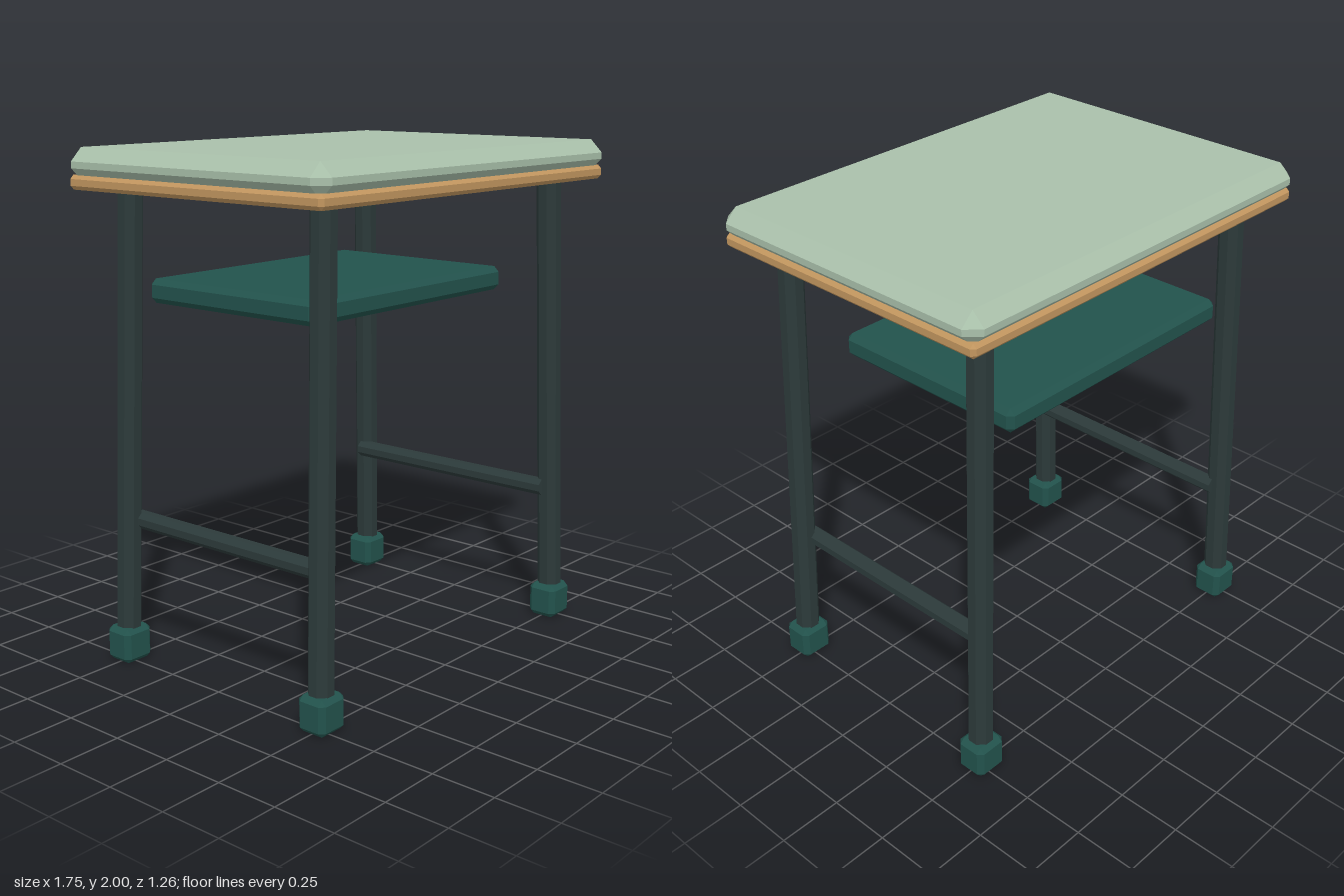
import * as THREE from 'three';
import { ConvexGeometry } from 'three/addons/geometries/ConvexGeometry.js';

// Box with every edge cut by a single flat bevel
function bevelBox(w, h, d, b) {
  const points = [];
  for (const sx of [-1, 1]) for (const sy of [-1, 1]) for (const sz of [-1, 1]) {
    const x = w / 2, y = h / 2, z = d / 2;
    points.push(
      new THREE.Vector3(sx * x, sy * (y - b), sz * (z - b)),
      new THREE.Vector3(sx * (x - b), sy * y, sz * (z - b)),
      new THREE.Vector3(sx * (x - b), sy * (y - b), sz * z)
    );
  }
  return new ConvexGeometry(points);
}

// Eight-sided bar between two points
function bar(from, to, radius, material, name) {
  const dir = to.clone().sub(from);
  const geometry = new THREE.CylinderGeometry(radius, radius, dir.length(), 8);
  geometry.rotateY(Math.PI / 8);
  const mesh = new THREE.Mesh(geometry, material);
  mesh.position.copy(from).add(to).multiplyScalar(0.5);
  mesh.quaternion.setFromUnitVectors(new THREE.Vector3(0, 1, 0), dir.normalize());
  mesh.name = name;
  return mesh;
}

export function createModel() {
  const group = new THREE.Group();
  group.name = 'schoolDesk';

  const makeMaterial = (name, color) => {
    const m = new THREE.MeshStandardMaterial({ color, flatShading: true });
    m.name = name;
    return m;
  };
  const sage = makeMaterial('sageTop', 0xa9c0aa);
  const wood = makeMaterial('woodEdge', 0xc2965f);
  const teal = makeMaterial('darkTeal', 0x22524c);
  const steel = makeMaterial('darkSteel', 0x2c3a3a);

  const addBox = (name, size, bevel, pos, material) => {
    const mesh = new THREE.Mesh(bevelBox(...size, bevel), material);
    mesh.position.set(...pos);
    mesh.name = name;
    group.add(mesh);
  };

  // Desk top, wooden layer beneath it and the book shelf
  addBox('deskTop', [1.745, 0.125, 1.26], 0.05, [0, 1.9375, 0], sage);
  addBox('woodLayer', [1.72, 0.055, 1.235], 0.015, [0, 1.8725, 0], wood);
  addBox('bookShelf', [1.16, 0.095, 0.84], 0.022, [0, 1.4475, -0.09], teal);

  for (const sx of [-1, 1]) {
    // Splayed legs with block feet
    for (const sz of [-1, 1]) {
      const side = (sz > 0 ? 'front' : 'back') + (sx > 0 ? 'Left' : 'Right');
      group.add(bar(
        new THREE.Vector3(sx * 0.743, 0.06, sz * 0.503),
        new THREE.Vector3(sx * 0.684, 1.86, sz * 0.474),
        0.049, steel, side + 'Leg'
      ));
      addBox(side + 'Foot', [0.135, 0.14, 0.125], 0.02, [sx * 0.74, 0.07, sz * 0.503], teal);
    }
    // Side rail joining front and back legs
    group.add(bar(
      new THREE.Vector3(sx * 0.69, 0.568, -0.49),
      new THREE.Vector3(sx * 0.69, 0.568, 0.49),
      0.036, steel, sx > 0 ? 'leftRail' : 'rightRail'
    ));
  }
  return group;
}
